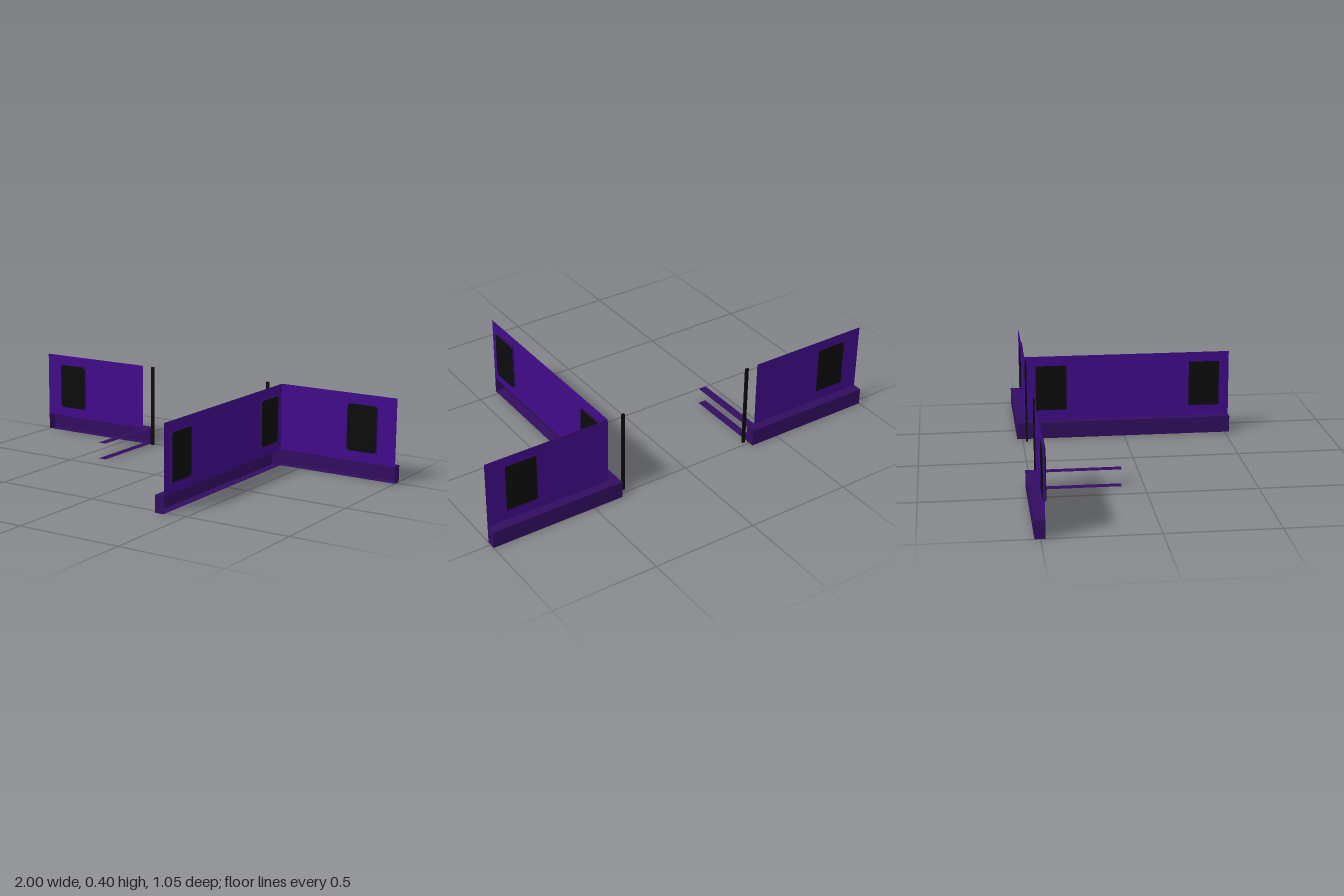
import * as THREE from 'three';

const wallMat = new THREE.MeshStandardMaterial({ name: 'violet wall', color: 0x400b8a, side: THREE.DoubleSide });
const trimMat = new THREE.MeshStandardMaterial({ name: 'dark violet trim', color: 0x320d60, side: THREE.DoubleSide });
const blackMat = new THREE.MeshStandardMaterial({ name: 'black', color: 0x0c0c0c });

const BASE = 0.08, TOP = 0.4, DEPTH = 0.045;

function add(parent, name, geometry, material, x, y, z) {
  const mesh = new THREE.Mesh(geometry, material);
  mesh.name = name;
  mesh.position.set(x, y, z);
  parent.add(mesh);
  return mesh;
}

// Horizontal strip between two x and two z values
function strip(parent, name, x0, x1, z0, z1, y) {
  const g = new THREE.PlaneGeometry(x1 - x0, z1 - z0).rotateX(-Math.PI / 2);
  add(parent, name, g, trimMat, (x0 + x1) / 2, y, (z0 + z1) / 2);
}

// Framed window facing +z: trim frame, black panes with notched corners, black back
function addWindow(parent, x) {
  const win = new THREE.Group();
  win.name = 'window';
  win.position.set(x, 0.241, 0);
  const w = 0.15, h = 0.222, n = 0.008;
  add(win, 'windowFrame', new THREE.BoxGeometry(w, h, 0.012), trimMat, 0, 0, 0.005);
  add(win, 'windowPane', new THREE.BoxGeometry(w, h - 2 * n, 0.002), blackMat, 0, 0, 0.011);
  add(win, 'windowPane', new THREE.BoxGeometry(w - 2 * n, h, 0.002), blackMat, 0, 0, 0.011);
  add(win, 'windowBack', new THREE.BoxGeometry(w, h, 0.001), blackMat, 0, 0, -0.0015);
  parent.add(win);
}

// Wall facing +z from x0 to x1, standing on an open-fronted base running b0 to b1
function makeWall(name, x0, x1, b0, b1, windows) {
  const group = new THREE.Group();
  group.name = name;
  add(group, 'wallPanel', new THREE.PlaneGeometry(x1 - x0, TOP - BASE), wallMat, (x0 + x1) / 2, (TOP + BASE) / 2, 0);
  strip(group, 'baseTop', b0, b1, -DEPTH, 0, BASE);
  strip(group, 'baseBottom', b0, b1, -DEPTH, 0, 0.001);
  add(group, 'baseBack', new THREE.PlaneGeometry(b1 - b0, BASE), trimMat, (b0 + b1) / 2, BASE / 2, -DEPTH);
  for (const x of [b0, b1]) {
    const cap = add(group, 'baseEnd', new THREE.PlaneGeometry(DEPTH, BASE), trimMat, x, BASE / 2, -DEPTH / 2);
    cap.rotation.y = Math.PI / 2;
  }
  windows.forEach(x => addWindow(group, x));
  return group;
}

export function createModel() {
  const model = new THREE.Group();
  model.name = 'wallSet';

  // Two back walls
  const backRight = makeWall('backWallRight', -1, -0.4, -1, -0.36, [-0.835]);
  const backLeft = makeWall('backWallLeft', 0.4, 1, 0.355, 1, [0.83]);
  for (const wall of [backRight, backLeft]) {
    wall.position.z = -0.48;
    model.add(wall);
  }

  // Long side wall, turned to face +x (local x runs towards -z)
  const side = makeWall('sideWall', -0.523, 0.48, -0.523, 0.48, [-0.4, 0.353]);
  side.rotation.y = Math.PI / 2;
  side.position.x = 0.4;
  model.add(side);

  // Short open return rails on the other side
  for (const y of [0.001, BASE]) strip(model, 'returnRail', -0.4, -0.36, -0.48, -0.1, y);

  // Slim corner posts
  for (const x of [-0.341, 0.323]) {
    add(model, 'cornerPost', new THREE.BoxGeometry(0.016, TOP, 0.008), blackMat, x, TOP / 2, -0.48);
  }
  return model;
}
